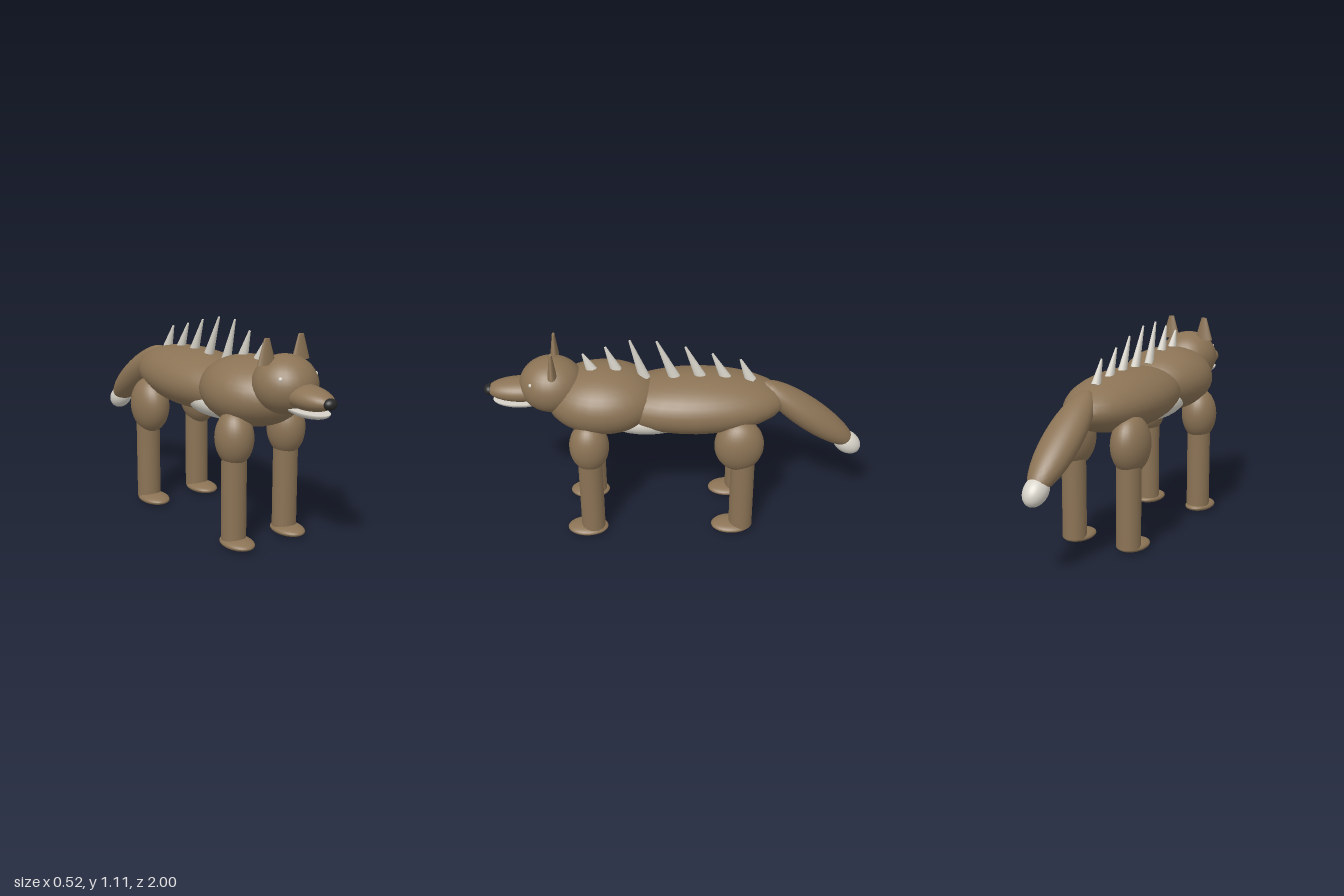
import * as THREE from 'three';

const flat = (name, color, side = THREE.FrontSide) => {
  const m = new THREE.MeshStandardMaterial({ color, side });
  m.name = name;
  return m;
};

export function createModel() {
  const fur = flat('brown fur', 0x8b7355);
  const pale = flat('pale fur and spikes', 0xd6d2c8, THREE.DoubleSide);
  const dark = flat('nose black', 0x262626);
  const model = new THREE.Group();
  model.name = 'spinedWolf';

  const add = (name, geometry, material, position, scale = [1, 1, 1], rotX = 0) => {
    const mesh = new THREE.Mesh(geometry, material);
    mesh.name = name;
    mesh.position.set(...position);
    mesh.scale.set(...scale);
    mesh.rotation.x = rotX;
    model.add(mesh);
    return mesh;
  };
  const ball = new THREE.SphereGeometry(1, 28, 20);
  const ellipsoid = (name, material, position, radii, rotX) =>
    add(name, ball, material, position, radii, rotX);

  // Torso
  ellipsoid('body', fur, [0, 0.745, -0.1], [0.23, 0.155, 0.475]);
  ellipsoid('chest', fur, [0, 0.775, 0.38], [0.242, 0.175, 0.3]);
  ellipsoid('belly', pale, [0, 0.685, 0.15], [0.18, 0.1, 0.28]);

  // Head, snout, lower jaw and nose
  ellipsoid('head', fur, [0, 0.86, 0.645], [0.16, 0.145, 0.167]);
  ellipsoid('snout', fur, [0, 0.83, 0.8], [0.088, 0.06, 0.18]);
  const jawShell = new THREE.SphereGeometry(1, 28, 10, 0, Math.PI * 2, Math.PI / 2, Math.PI / 2);
  add('jaw', jawShell, pale, [0, 0.772, 0.81], [0.074, 0.037, 0.145]);
  const jawTop = new THREE.CircleGeometry(1, 28);
  add('jawTop', jawTop, pale, [0, 0.772, 0.81], [0.074, 0.145, 1], -Math.PI / 2);
  ellipsoid('nose', dark, [0, 0.83, 0.969], [0.036, 0.028, 0.029]);

  // Tail with pale tip
  const slope = -0.656;
  ellipsoid('tail', fur, [0, 0.645, -0.7], [0.1, 0.081, 0.32], slope);
  ellipsoid('tailTip', pale, [0, 0.455, -0.922], [0.06, 0.06, 0.086], slope);

  // Ears, eyes and legs, mirrored
  const earShape = new THREE.CylinderGeometry(0.016, 0.053, 0.125, 20);
  const shinShape = new THREE.CylinderGeometry(0.064, 0.064, 0.47, 24);
  for (const [label, s] of [['left', 1], ['right', -1]]) {
    add(label + 'Ear', earShape, fur, [s * 0.104, 1.028, 0.63], [1, 1, 0.43]);
    ellipsoid(label + 'Eye', pale, [s * 0.107, 0.915, 0.741], [0.011, 0.011, 0.011]);

    ellipsoid(label + 'FrontThigh', fur, [s * 0.163, 0.572, 0.46], [0.096, 0.143, 0.104]);
    add(label + 'FrontShin', shinShape, fur, [s * 0.163, 0.265, 0.46]);
    ellipsoid(label + 'FrontPaw', fur, [s * 0.163, 0.028, 0.49], [0.077, 0.027, 0.11]);

    ellipsoid(label + 'RearThigh', fur, [s * 0.163, 0.565, -0.322], [0.096, 0.152, 0.13]);
    add(label + 'RearShin', shinShape, fur, [s * 0.163, 0.265, -0.345]);
    ellipsoid(label + 'RearPaw', fur, [s * 0.163, 0.028, -0.295], [0.077, 0.027, 0.11]);
  }

  // Forward-leaning back spikes: [base z, base y, tip z, tip y]
  const spikes = [
    [0.435, 0.935, 0.478, 1.032], [0.31, 0.935, 0.362, 1.07], [0.165, 0.885, 0.238, 1.107],
    [0.01, 0.885, 0.102, 1.1], [-0.125, 0.885, -0.045, 1.064], [-0.255, 0.875, -0.183, 1.022],
    [-0.385, 0.86, -0.328, 0.985],
  ];
  spikes.forEach(([bz, by, tz, ty], i) => {
    const length = Math.hypot(tz - bz, ty - by);
    const cone = new THREE.CylinderGeometry(0.006, 0.03, length, 12);
    add('backSpike' + (i + 1), cone, pale, [0, (by + ty) / 2, (bz + tz) / 2],
      [0.8, 1, 1], Math.atan2(tz - bz, ty - by));
  });

  return model;
}
